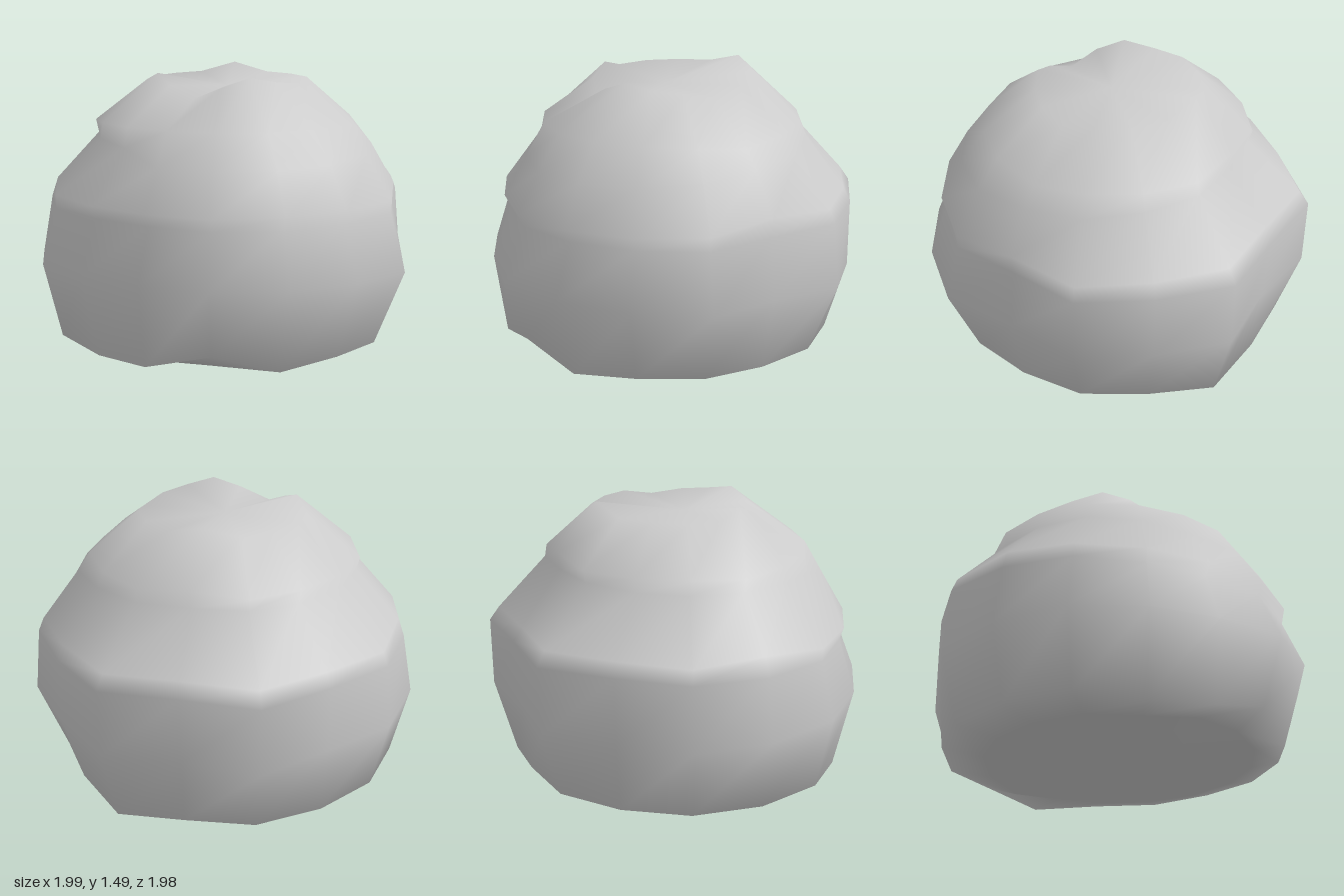
import * as THREE from 'three';

const SIDES = 16;
const CENTRE_X = 0.03;

// Uneven outline, running from the front (+z) through +x, the back and -x
const outline = [1, 1, 1, 1.03, 0.93, 1.04, 1, 1.06, 0.94, 1.06, 0.97, 1.04, 1.03, 1.02, 0.96, 0.94];

// Rings from underside to crown: radius r and height y. dr and dy shift them
// towards the front, dx widens the +x side; wobble is the outline's share.
const rings = [
  { r: 0.72, y: 0.045, dr: 0, dx: 0, dy: 0.01, wobble: 0 }, // underside
  { r: 0.9, y: 0.08, dr: -0.02, dx: -0.03, dy: 0.01, wobble: 0.2 }, // bottom rim
  { r: 1, y: 0.465, dr: 0, dx: 0, dy: 0.035, wobble: 1 }, // widest girth
  { r: 0.95, y: 0.785, dr: -0.07, dx: 0, dy: -0.015, wobble: 0.8 }, // crease
  { r: 0.94, y: 0.855, dr: -0.03, dx: 0, dy: -0.02, wobble: 0.7 }, // lip
  { r: 0.75, y: 1.1, dr: 0.03, dx: 0.04, dy: -0.06, wobble: 0.2 }, // under the crown
  { r: 0.695, y: 1.22, dr: -0.035, dx: 0, dy: 0, wobble: 0.2 }, // crown edge
  { r: 0.43, y: 1.43, dr: -0.05, dx: 0, dy: -0.015, wobble: 0.2 }, // crown
];

// Local lumps and hollows: [ring, side, outward, upward]
const lumps = [
  [0, 8, 0, -0.03], [0, 9, 0, -0.015], [0, 14, 0, -0.02],
  [1, 0, 0, 0.06], [1, 1, 0, -0.03], [1, 7, 0.03, -0.04], [1, 14, -0.04, -0.03], [1, 15, 0, -0.02],
  [4, 4, 0.01, 0.03], [4, 12, -0.02, 0.03],
  [5, 11, 0, 0.02], [5, 12, -0.01, 0.04], [5, 13, -0.03, 0.06], [5, 14, -0.05, 0.06],
  [6, 4, 0.01, -0.03], [6, 8, 0, 0.03], [6, 12, 0.02, -0.01],
  [7, 1, 0, 0.05], [7, 2, 0, 0.02], [7, 4, 0.03, -0.03],
  [7, 8, 0.03, 0.05], [7, 13, -0.03, 0.05], [7, 15, 0, -0.06],
];

function ringPoint(i, j) {
  const ring = rings[i];
  const a = (j / SIDES) * Math.PI * 2;
  const sin = Math.sin(a), cos = Math.cos(a);
  let r = ring.r + ring.dr * cos + ring.dx * sin + ring.wobble * (outline[j] - 1);
  let y = ring.y + ring.dy * cos;
  for (const [atRing, atSide, out, up] of lumps) {
    if (atRing === i && atSide === j) {
      r += out;
      y += up;
    }
  }
  return [CENTRE_X + r * sin, y, r * cos];
}

export function createModel() {
  const pos = [];
  const index = [];
  for (let i = 0; i < rings.length; i++) {
    for (let j = 0; j < SIDES; j++) pos.push(...ringPoint(i, j));
  }
  const bottom = rings.length * SIDES;
  const top = bottom + 1;
  pos.push(CENTRE_X, 0.07, 0, CENTRE_X, 1.4, 0);

  // Skin the rings and close both ends with fans
  const last = (rings.length - 1) * SIDES;
  for (let j = 0; j < SIDES; j++) {
    const k = (j + 1) % SIDES;
    for (let s = 0; s < last; s += SIDES) {
      const a = s + j, b = s + k, c = b + SIDES, d = a + SIDES;
      index.push(a, b, c, a, c, d);
    }
    index.push(bottom, k, j, last + j, last + k, top);
  }

  const geometry = new THREE.BufferGeometry();
  geometry.setAttribute('position', new THREE.Float32BufferAttribute(pos, 3));
  geometry.setIndex(index);
  geometry.computeVertexNormals();

  const body = new THREE.Mesh(geometry, new THREE.MeshStandardMaterial({ color: 0xcccccc }));
  body.name = 'lumpyBody';
  const group = new THREE.Group();
  group.name = 'roundedLump';
  group.add(body);
  return group;
}
